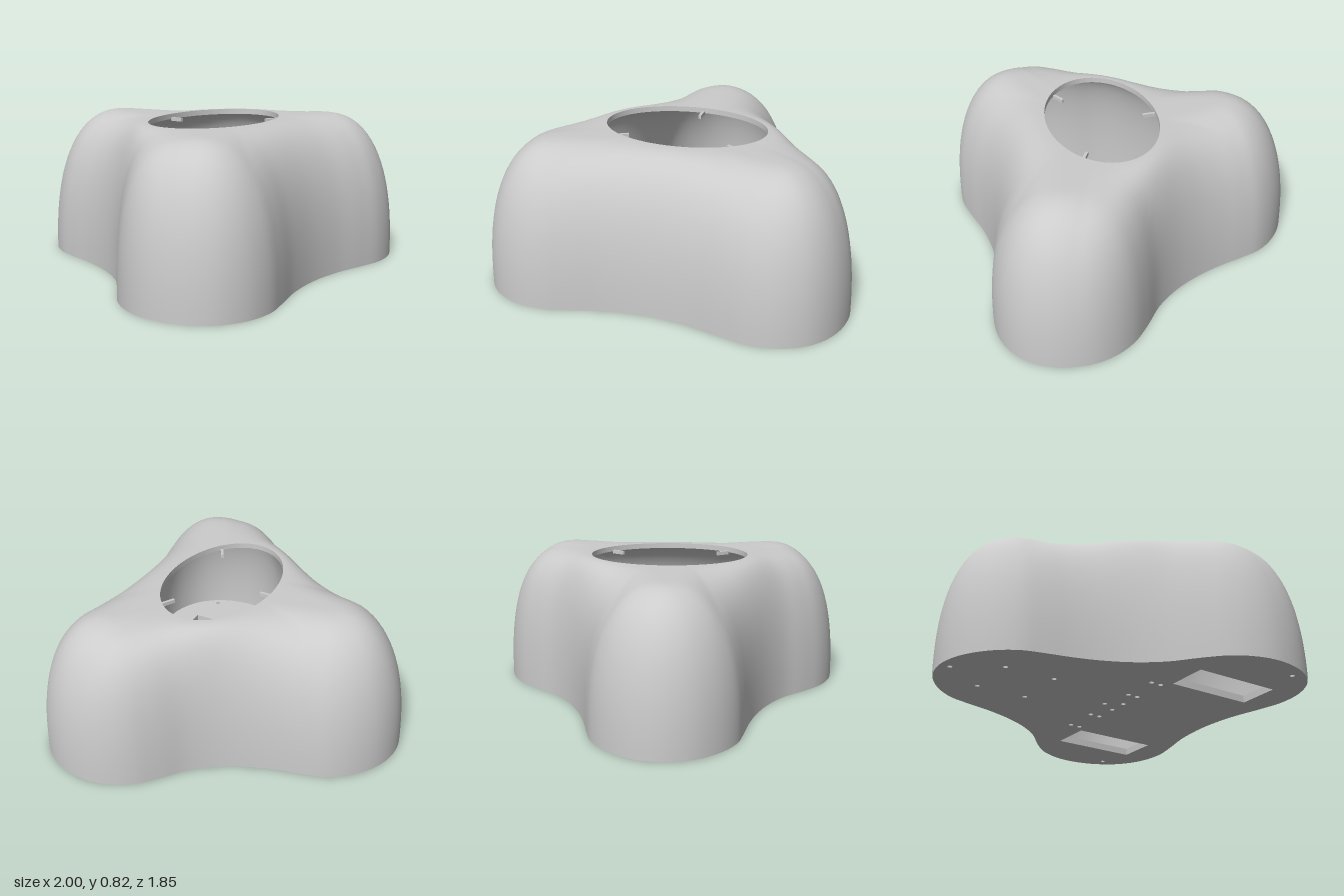
import * as THREE from 'three';

const CENTRE = new THREE.Vector2(0, 0.165); // centre of the top opening (x, z)
const RX = 0.45, RZ = 0.305;                // radii of the opening
const HEIGHT = 0.825, WALL = 0.03, FLOOR = 0.04;
const SEGMENTS = 192, ROWS = 30;

// Half of the three-lobed outline (x, z), from the back to the front
const HALF = [
  [0, -0.925], [0.16, -0.89], [0.3, -0.79], [0.385, -0.67], [0.42, -0.55], [0.455, -0.4],
  [0.505, -0.25], [0.58, -0.1], [0.68, 0.03], [0.81, 0.14], [0.91, 0.24], [0.975, 0.36],
  [1, 0.5], [0.965, 0.68], [0.87, 0.82], [0.73, 0.9], [0.57, 0.92], [0.42, 0.89],
  [0.22, 0.84], [0, 0.82],
];

function outline(inset) {
  const mirrored = HALF.slice(1, -1).reverse().map(([x, z]) => [-x, z]);
  const points = [...HALF, ...mirrored].map(([x, z]) => new THREE.Vector3(x, 0, z));
  const curve = new THREE.CatmullRomCurve3(points, true, 'centripetal');
  return curve.getSpacedPoints(SEGMENTS).slice(0, SEGMENTS).map((p) => {
    const v = new THREE.Vector2(p.x, p.z).sub(CENTRE);
    return v.setLength(v.length() - inset).add(CENTRE);
  });
}

function distanceTo(loop, x, z) {
  let best = Infinity;
  for (let i = 0; i < loop.length; i++) {
    const a = loop[i], b = loop[(i + 1) % loop.length];
    const dx = b.x - a.x, dz = b.y - a.y;
    const t = THREE.MathUtils.clamp(((x - a.x) * dx + (z - a.y) * dz) / (dx * dx + dz * dz), 0, 1);
    best = Math.min(best, Math.hypot(a.x + dx * t - x, a.y + dz * t - z));
  }
  return best;
}

// Rings from the base outline up to the rim; height follows the distance from the outline
function shellRings(inset, height) {
  const loop = outline(inset);
  const rim = loop.map((p) => {
    const d = p.clone().sub(CENTRE);
    return d.multiplyScalar(1 / Math.hypot(d.x / RX, d.y / RZ)).add(CENTRE);
  });
  const spans = rim.map((p) => Math.min(0.41, distanceTo(loop, p.x, p.y)));
  const rings = [];
  for (let r = 0; r <= ROWS; r++) {
    const s = (r / ROWS) ** 3;
    rings.push(loop.map((p, i) => {
      const q = p.clone().lerp(rim[i], s);
      const u = r === 0 ? 0 : Math.min(1, distanceTo(loop, q.x, q.y) / spans[i]);
      const y = height * (1 - (1 - u) ** 2.4) ** (1 / 2.4);
      return [q.x, y, q.y];
    }));
  }
  return rings;
}

// Skin over closed rings
function skin(rings, flip) {
  const n = rings[0].length, index = [];
  for (let r = 0; r < rings.length - 1; r++) {
    for (let i = 0; i < n; i++) {
      const a = r * n + i, b = r * n + (i + 1) % n, c = a + n, d = b + n;
      if (flip) index.push(a, b, c, b, d, c);
      else index.push(a, c, b, b, c, d);
    }
  }
  const g = new THREE.BufferGeometry();
  g.setAttribute('position', new THREE.Float32BufferAttribute(rings.flat(2), 3));
  g.setIndex(index);
  g.computeVertexNormals();
  return g;
}

// Base plate with two rectangular openings and screw holes
function basePlate() {
  const shape = new THREE.Shape(outline(0.003));
  for (const side of [-1, 1]) {
    const x0 = side * 0.45, x1 = side * 0.685;
    shape.holes.push(new THREE.Path([
      new THREE.Vector2(x0, 0.235), new THREE.Vector2(x1, 0.235),
      new THREE.Vector2(x1, 0.74), new THREE.Vector2(x0, 0.74),
    ]));
  }
  const pairs = [[0.4, 0.13], [0.4, 0.19], [0.187, 0.13], [0.187, 0.19], [0.055, 0.19],
    [0.155, -0.33], [0.155, -0.625], [0.885, 0.69]];
  const holes = [[0, 0.1], [0, -0.865], ...pairs, ...pairs.map(([x, z]) => [-x, z])];
  for (const [x, z] of holes) {
    shape.holes.push(new THREE.Path().absarc(x, z, 0.014, 0, Math.PI * 2, true));
  }
  const g = new THREE.ExtrudeGeometry(shape, { depth: FLOOR, bevelEnabled: false, curveSegments: 8 });
  return g.rotateX(Math.PI / 2).translate(0, FLOOR, 0);
}

export function createModel() {
  const model = new THREE.Group();
  model.name = 'threeLobedHousing';
  const material = new THREE.MeshStandardMaterial({ color: 0xcccccc });
  const doubleSided = new THREE.MeshStandardMaterial({ color: 0xcccccc, side: THREE.DoubleSide });
  const add = (name, geometry, mat = material) => {
    const mesh = new THREE.Mesh(geometry, mat);
    mesh.name = name;
    model.add(mesh);
    return mesh;
  };

  // Hollow shell: outer skin, inner skin and the edge of the opening
  const outer = shellRings(0, HEIGHT);
  const inner = shellRings(WALL, HEIGHT - WALL);
  add('outerShell', skin(outer, false));
  add('innerShell', skin(inner, true));
  add('openingEdge', skin([outer[ROWS], inner[ROWS]], false), doubleSided);

  add('basePlate', basePlate());

  // Three small tabs pointing inward from the opening
  const tabs = [[0, -0.105, 0], [0.31, 0.337, Math.PI / 3], [-0.31, 0.337, -Math.PI / 3]];
  for (const [x, z, turn] of tabs) {
    const tab = add('rimTab', new THREE.BoxGeometry(0.016, 0.02, 0.075));
    tab.position.set(x, 0.795, z);
    tab.rotation.y = turn;
  }
  return model;
}
